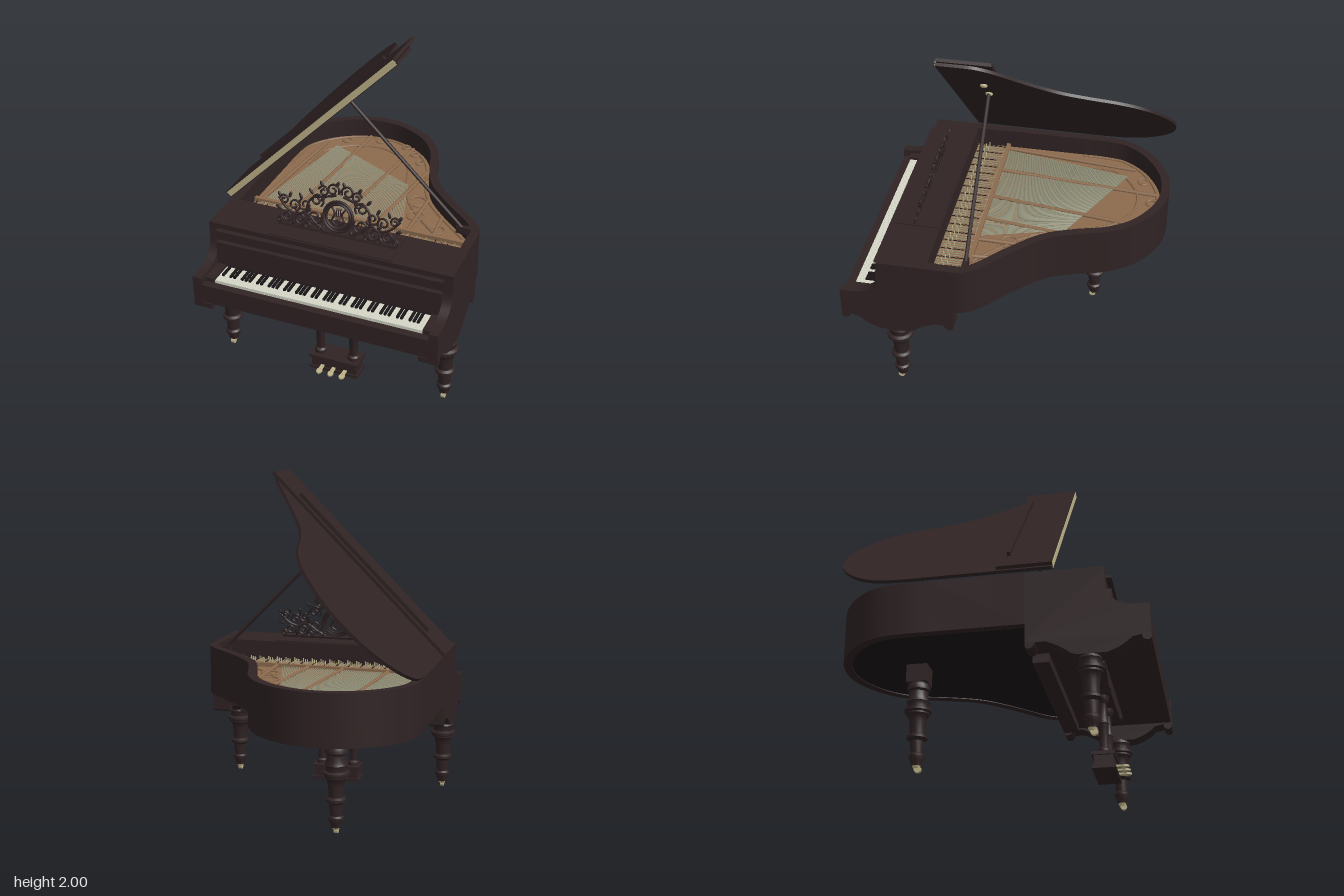
import * as THREE from 'three';
import { toCreasedNormals } from 'three/addons/utils/BufferGeometryUtils.js';

const mat = (name, color) => Object.assign(new THREE.MeshStandardMaterial({ color }), { name });
const V2 = (x, y) => new THREE.Vector2(x, y);
const V3 = (x, y, z) => new THREE.Vector3(x, y, z);
const CX = 0.007; // middle of the case

export function createModel() {
  const root = new THREE.Group();
  root.name = 'grandPiano';
  const wood = mat('darkWood', 0x302324);
  const black = mat('ebony', 0x1a1516);
  const ivory = mat('ivory', 0xd6d8c8);
  const brass = mat('brass', 0xc0b58a);
  const plateMat = mat('bronzePlate', 0x8c6b4e);
  const stringMat = mat('strings', 0x94937a);

  const add = (name, geo, m, parent = root) => {
    const mesh = new THREE.Mesh(geo, m);
    mesh.name = name;
    parent.add(mesh);
    return mesh;
  };
  // box given by its limits
  const box = (name, m, x0, x1, y0, y1, z0, z1, parent) => {
    const b = add(name, new THREE.BoxGeometry(x1 - x0, y1 - y0, z1 - z0), m, parent);
    b.position.set((x0 + x1) / 2, (y0 + y1) / 2, (z0 + z1) / 2);
    return b;
  };
  const tube = (name, pts, r, m, parent, n = 20) =>
    add(name, new THREE.TubeGeometry(new THREE.CatmullRomCurve3(pts), n, r, 6), m, parent);
  const rod = (name, a, b, r, m, parent) => {
    const c = add(name, new THREE.CylinderGeometry(r, r, a.distanceTo(b), 8), m, parent);
    c.position.copy(a).lerp(b, 0.5);
    c.quaternion.setFromUnitVectors(V3(0, 1, 0), b.clone().sub(a).normalize());
    return c;
  };
  // horizontal slab from an outline of (x, z) points
  const slab = (outline, h, hole) => {
    const flip = (pts) => pts.map((p) => V2(p.x, -p.y));
    const s = new THREE.Shape(flip(outline));
    if (hole) s.holes.push(new THREE.Path(flip(hole)));
    const g = new THREE.ExtrudeGeometry(s, { depth: h, bevelEnabled: false });
    return toCreasedNormals(g.rotateX(-Math.PI / 2), 0.6);
  };

  // curved outline of the case, from the bass side round the tail to the treble side
  const curve = new THREE.SplineCurve([
    [-0.731, -0.3], [-0.73, -0.45], [-0.70, -0.61], [-0.58, -0.762], [-0.40, -0.867], [-0.21, -0.893],
    [-0.045, -0.853], [0.12, -0.744], [0.225, -0.592], [0.286, -0.40], [0.358, -0.237], [0.5, -0.08],
    [0.666, 0.07], [0.732, 0.16], [0.745, 0.23],
  ].map((p) => V2(...p)));
  const N = 70;
  const bend = curve.getPoints(N);
  const inset = (d) => bend.map((p, i) => {
    const t = V2().subVectors(bend[Math.min(i + 1, N)], bend[Math.max(i - 1, 0)]).normalize();
    return V2(p.x - t.y * d, p.y + t.x * d);
  });
  const inner = inset(0.05);
  const closed = (pts, z, x0 = -0.731, x1 = 0.745) => [V2(x0, z), ...pts, V2(x1, z)];
  const rimLoop = [V2(-0.731, 0.23), ...bend, ...[...inner].reverse(), V2(-0.681, 0.23)];
  add('rim', slab(rimLoop, 0.3), wood).position.y = 0.62;
  const inside = closed(inner, 0.385, -0.681, 0.69);
  add('bottomBoard', slab(inside, 0.02), black).position.y = 0.625;
  add('plate', slab(inside, 0.03), plateMat).position.y = 0.77;

  // cheeks and scalloped skirts on both sides
  const cheek = new THREE.Shape();
  cheek.moveTo(0.23, 0.52).lineTo(0.89, 0.52).lineTo(0.89, 0.685).lineTo(0.82, 0.685);
  cheek.bezierCurveTo(0.73, 0.69, 0.665, 0.73, 0.66, 0.81);
  cheek.lineTo(0.66, 0.92).lineTo(0.23, 0.92);
  const skirt = new THREE.Shape();
  skirt.moveTo(0.23, 0.52).lineTo(0.23, 0.49).quadraticCurveTo(0.25, 0.465, 0.275, 0.49).lineTo(0.285, 0.51).lineTo(0.34, 0.51);
  skirt.quadraticCurveTo(0.42, 0.48, 0.47, 0.435).lineTo(0.5, 0.425).lineTo(0.66, 0.425);
  skirt.quadraticCurveTo(0.74, 0.45, 0.79, 0.5).lineTo(0.84, 0.51).lineTo(0.845, 0.49).quadraticCurveTo(0.87, 0.465, 0.89, 0.49);
  skirt.lineTo(0.89, 0.52);
  const sidePanel = (name, shape, s, outer, t) => {
    const g = new THREE.ExtrudeGeometry(shape, { depth: t, bevelEnabled: false, curveSegments: 10 });
    g.rotateY(-Math.PI / 2); // shape x becomes z, depth runs towards -x
    const m = add(name, toCreasedNormals(g, 0.6), wood);
    m.position.x = s > 0 ? CX + outer : CX - outer + t;
  };

  // turned leg with a brass castor
  const legPts = [[0.001, 0.04], [0.028, 0.04], [0.032, 0.06], [0.045, 0.085], [0.045, 0.1], [0.034, 0.11], [0.04, 0.18],
    [0.058, 0.195], [0.058, 0.21], [0.042, 0.22], [0.046, 0.29], [0.054, 0.325], [0.066, 0.335], [0.066, 0.345], [0.077, 0.352],
    [0.077, 0.366], [0.06, 0.375], [0.06, 0.4], [0.066, 0.41], [0.056, 0.43]].map((p) => V2(...p));
  const leg = (name, x, z, extra = []) => {
    const g = new THREE.Group();
    g.name = name;
    g.position.set(x, 0, z);
    root.add(g);
    add('turnedLeg', toCreasedNormals(new THREE.LatheGeometry([...legPts, ...extra], 20), 0.7), wood, g);
    const wheel = add('castor', new THREE.CylinderGeometry(0.02, 0.02, 0.022, 14), brass, g);
    wheel.rotation.z = Math.PI / 2;
    wheel.position.set(0, 0.02, 0.008);
    add('castorCup', new THREE.CylinderGeometry(0.027, 0.018, 0.02, 14), brass, g).position.y = 0.036;
  };
  for (const s of [-1, 1]) {
    sidePanel('cheek', cheek, s, 0.738, 0.055);
    sidePanel('skirt', skirt, s, 0.738, 0.11);
    leg('frontLeg', CX + s * 0.68, 0.565);
    const x = CX + s * 0.658;
    box('keyBlock', wood, x - 0.026, x + 0.026, 0.62, 0.665, 0.67, 0.84);
  }
  leg('rearLeg', -0.25, -0.465, [V2(0.055, 0.47), V2(0.066, 0.48), V2(0.066, 0.5), V2(0.055, 0.52)]);
  box('rearLegBlock', wood, -0.31, -0.19, 0.52, 0.63, -0.525, -0.405);

  // key bed, front deck and fallboard
  const L = CX - 0.684, R = CX + 0.684;
  box('keyBed', wood, L, R, 0.521, 0.625, 0.232, 0.84);
  box('keySlip', wood, L, R, 0.521, 0.638, 0.838, 0.885);
  box('frontDeck', wood, L, R, 0.62, 0.919, 0.378, 0.659);
  box('fallboard', wood, L, R, 0.657, 0.81, 0.655, 0.688);
  box('fallboardLip', wood, L, R, 0.875, 0.888, 0.655, 0.69);
  box('deskShelf', wood, -0.36, 0.38, 0.915, 0.925, 0.39, 0.65);
  box('rearBeam', wood, CX - 0.56, CX + 0.56, 0.47, 0.53, 0.24, 0.33);

  // scalloped cross apron above the pedals
  const half = [[0.45, 0.525], [0.45, 0.485], [0.43, 0.472], [0.412, 0.485], [0.41, 0.515], [0.37, 0.505], [0.32, 0.46],
    [0.27, 0.43], [0.21, 0.435], [0.17, 0.455], [0.15, 0.43]];
  const apron = new THREE.Shape([...half.map(([x, y]) => V2(x, y)), ...half.map(([x, y]) => V2(-x, y)).reverse()]);
  add('apron', new THREE.ExtrudeGeometry(apron, { depth: 0.1, bevelEnabled: false }), wood).position.set(CX, 0, 0.51);

  // pedal support with two columns
  const column = [[0.036, 0.1], [0.036, 0.12], [0.024, 0.13], [0.027, 0.26], [0.032, 0.27], [0.025, 0.28], [0.022, 0.385],
    [0.034, 0.4], [0.038, 0.43]].map((p) => V2(...p));
  for (const s of [-1, 1])
    add('pedalColumn', toCreasedNormals(new THREE.LatheGeometry(column, 16), 0.7), wood).position.set(0.012 + s * 0.105, 0, 0.555);
  box('pedalBoxFoot', wood, -0.143, 0.165, 0.003, 0.022, 0.488, 0.618);
  box('pedalBox', wood, -0.13, 0.152, 0.022, 0.08, 0.5, 0.608);
  box('pedalBoxTop', wood, -0.143, 0.165, 0.08, 0.1, 0.488, 0.618);
  for (const x of [-0.06, 0.012, 0.084]) {
    box('pedal', brass, x - 0.011, x + 0.011, 0.028, 0.038, 0.6, 0.65);
    const tip = add('pedalTip', new THREE.CylinderGeometry(0.017, 0.017, 0.01, 14), brass);
    tip.scale.z = 1.5;
    tip.position.set(x, 0.031, 0.66);
  }

  // keyboard
  const kw = 1.26 / 52;
  for (let i = 0; i < 52; i++) {
    const x = -0.62 + i * kw;
    box('whiteKey', ivory, x + 0.0006, x + kw - 0.0006, 0.62, 0.652, 0.685, 0.832);
    if ([0, 2, 3, 5, 6].includes(i % 7) && i < 51)
      box('blackKey', black, x + kw - 0.0072, x + kw + 0.0072, 0.65, 0.664, 0.685, 0.78);
  }

  // strings, plate struts, rings and raised edges inside the case
  for (let i = 0; i <= 80; i++) {
    const t = i / 80;
    rod('string', V3(-0.63 + 0.9 * t, 0.808, 0.2), V3(-0.48 + 0.6 * t, 0.808, -0.62 + 0.3 * t), 0.0028, stringMat);
  }
  for (let i = 0; i < 70; i++) {
    const x = -0.66 + i * 0.0191;
    rod('frontString', V3(x, 0.806, 0.19 + 0.02 * (i % 3)), V3(x, 0.806, 0.375), 0.0028, i % 4 ? stringMat : black);
    rod('tuningPin', V3(x, 0.8, 0.3 + 0.02 * (i % 3)), V3(x, 0.83, 0.3 + 0.02 * (i % 3)), 0.004, brass);
  }
  const struts = [[-0.64, 0.18, -0.56, -0.66], [-0.4, 0.18, -0.32, -0.82], [-0.12, 0.18, 0.0, -0.76],
    [0.1, 0.18, 0.18, -0.5], [0.3, 0.18, 0.3, -0.2], [0.46, 0.18, 0.44, -0.04]];
  for (const [x0, z0, x1, z1] of struts) rod('plateStrut', V3(x0, 0.812, z0), V3(x1, 0.805, z1), 0.012, plateMat);
  box('plateBar', plateMat, -0.68, 0.66, 0.795, 0.825, 0.165, 0.19);
  const edge = (d, r) => tube('plateEdge', inset(d).filter((p, i) => i % 3 === 0 && i < 69).map((p) => V3(p.x, 0.802, p.y)), r, plateMat, root, 70);
  edge(0.07, 0.008);
  edge(0.19, 0.008);
  const rings = [[-0.055, -0.77, 0.025], [0.03, -0.7, 0.024], [0.095, -0.61, 0.024], [0.19, -0.42, 0.037],
    [0.24, -0.165, 0.055], [0.285, -0.01, 0.05], [0.46, 0.09, 0.04], [-0.24, -0.79, 0.03], [-0.45, -0.72, 0.03]];
  for (const [x, z, r] of rings) {
    const ring = add('plateRing', new THREE.TorusGeometry(r, 0.007, 6, 24), plateMat);
    ring.rotation.x = Math.PI / 2;
    ring.position.set(x, 0.803, z);
  }

  // open lid with the front flap folded back on top
  const lid = new THREE.Group();
  lid.name = 'lid';
  lid.position.set(-0.73, 0.928, 0);
  lid.rotation.z = 0.787;
  root.add(lid);
  add('lidBoard', slab(closed(bend, 0.385).map((p) => V2(p.x + 0.731, p.y)), 0.018), wood, lid);
  box('frontFlap', wood, 0, 1.476, 0.024, 0.043, 0.08, 0.385, lid);
  box('flapRail', wood, 0.17, 1.28, 0.042, 0.066, 0.12, 0.138, lid);
  box('flapHinge', brass, 0.004, 1.47, 0.004, 0.039, 0.381, 0.388, lid);
  for (const w of [0.94, 1.14]) {
    const cup = add('propCup', new THREE.SphereGeometry(0.022, 14, 8), brass, lid);
    cup.scale.y = 0.6;
    cup.position.set(w, -0.006, 0.17);
  }
  rod('propStick', V3(0.63, 0.915, 0.17), V3(-0.055, 1.598, 0.17), 0.011, wood);
  box('propSocket', wood, 0.6, 0.7, 0.88, 0.921, 0.155, 0.185);

  // scrolled music desk, leaning back
  const desk = new THREE.Group();
  desk.name = 'musicDesk';
  desk.position.set(0.01, 0.925, 0.535);
  desk.rotation.x = -0.26;
  root.add(desk);
  box('deskRail', wood, -0.36, 0.36, 0, 0.014, -0.006, 0.006, desk);
  const ringAt = (r, y) => { add('deskRing', new THREE.TorusGeometry(r, 0.008, 6, 28), wood, desk).position.y = y; };
  ringAt(0.088, 0.115);
  ringAt(0.072, 0.115);
  for (const x of [-0.012, 0, 0.012]) box('lyreString', wood, x - 0.002, x + 0.002, 0.06, 0.165, -0.003, 0.003, desk);
  // scrolls: centre, radius, start angle, turning direction
  const scrolls = [[0.045, 0.262, 0.04, 3.6, -1], [0.1, 0.245, 0.033, 0.2, 1], [0.135, 0.185, 0.042, 4, -1], [0.14, 0.085, 0.048, 2.5, 1],
    [0.205, 0.145, 0.04, 1, -1], [0.225, 0.06, 0.042, 3, 1], [0.27, 0.13, 0.038, 4.4, -1], [0.305, 0.06, 0.038, 2, 1],
    [0.335, 0.15, 0.03, 0, 1], [0.18, 0.03, 0.022, 1, -1], [0.35, 0.03, 0.02, 3, -1]];
  const leaves = [[0.02, 0.3, 0.4], [0.115, 0.285, -0.5], [0.175, 0.23, -0.7], [0.235, 0.19, -0.5], [0.3, 0.185, 0.3],
    [0.365, 0.175, -0.6], [0.365, 0.1, -1.2], [0.18, 0.115, 0.8], [0.25, 0.1, -0.8], [0.1, 0.2, 0.7], [0.09, 0.03, 0.9], [0.265, 0.03, 0.4]];
  for (const s of [-1, 1]) {
    for (const [x, y, r, a0, d] of scrolls) {
      const pts = Array.from({ length: 15 }, (_, i) => {
        const a = a0 + d * i * 0.62, q = r * (1 - 0.75 * i / 14);
        return V3(s * (x + q * Math.cos(a)), y + q * Math.sin(a), 0);
      });
      tube('scroll', pts, 0.0062, wood, desk, 30);
    }
    for (const [x, y, a] of leaves) {
      const leaf = add('leaf', new THREE.SphereGeometry(0.02, 8, 6), wood, desk);
      leaf.scale.set(0.5, 1, 0.3);
      leaf.position.set(s * x, y, 0);
      leaf.rotation.z = s * a;
    }
    tube('vine', [[0.08, 0.02], [0.19, 0.1], [0.17, 0.19], [0.09, 0.215], [0.02, 0.235]].map(([x, y]) => V3(s * x, y, 0)), 0.007, wood, desk);
    tube('vine', [[0.1, 0.02], [0.2, 0.1], [0.25, 0.08], [0.31, 0.1], [0.37, 0.16]].map(([x, y]) => V3(s * x, y, 0)), 0.007, wood, desk);
    tube('lyreArm', [[0.008, 0.065], [0.036, 0.085], [0.022, 0.13], [0.042, 0.165]].map(([x, y]) => V3(s * x, y, 0)), 0.006, wood, desk);
  }
  return root;
}
